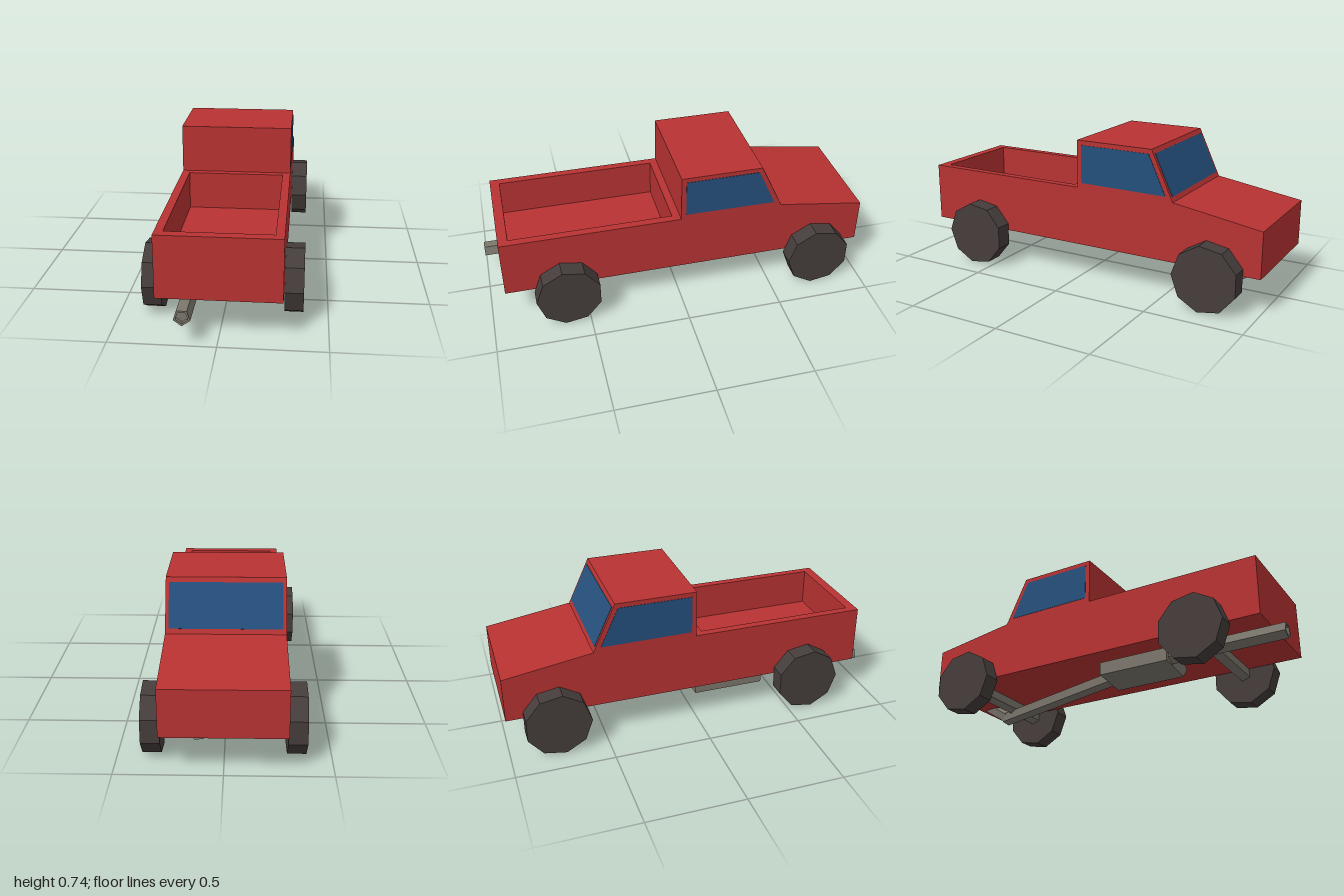
import * as THREE from 'three';

const paint = (color) => new THREE.MeshStandardMaterial({ color, flatShading: true });

export function createModel() {
  const truck = new THREE.Group();
  truck.name = 'pickupTruck';
  const red = paint(0xb83232), glass = paint(0x25507d), rubber = paint(0x453d3b), metal = paint(0x7c776d);

  const add = (name, geometry, material, x = 0, y = 0, z = 0) => {
    const mesh = new THREE.Mesh(geometry, material);
    mesh.name = name;
    mesh.position.set(x, y, z);
    truck.add(mesh);
    return mesh;
  };
  const extrude = (points, depth) => new THREE.ExtrudeGeometry(
    new THREE.Shape(points.map(([u, v]) => new THREE.Vector2(u, v))), { depth, bevelEnabled: false });
  // Side outline given as [z, y], extruded across x and centred
  const sidePanel = (points, width) => extrude(points, width).translate(0, 0, -width / 2).rotateY(-Math.PI / 2);
  // Straight faceted pipe between two points
  const pipe = (name, from, to, radius) => {
    const a = new THREE.Vector3(...from), b = new THREE.Vector3(...to);
    const mesh = add(name, new THREE.CylinderGeometry(radius, radius, a.distanceTo(b), 5), metal);
    mesh.position.copy(a).add(b).multiplyScalar(0.5);
    mesh.quaternion.setFromUnitVectors(new THREE.Vector3(0, 1, 0), b.sub(a).normalize());
    return mesh;
  };

  // Body: bed floor, cab and sloping hood in one outline
  const half = 0.291, floor = 0.3;
  add('body', sidePanel([
    [0.92, 0.19], [0.92, floor], [0.035, floor], [0.035, 0.497], [-0.005, 0.497], [-0.005, 0.744],
    [-0.425, 0.744], [-0.542, 0.495], [-1, 0.425], [-1, 0.19],
  ], half * 2), red);

  // Bed walls: a U seen from above, as [x, -z]
  add('bedWalls', extrude([
    [-half, -0.035], [-half, -0.92], [half, -0.92], [half, -0.035],
    [0.25, -0.035], [0.25, -0.87], [-0.25, -0.87], [-0.25, -0.035],
  ], 0.497 - floor).rotateX(-Math.PI / 2), red, 0, floor, 0);

  // Windows
  for (const side of [1, -1]) {
    add(side > 0 ? 'leftWindow' : 'rightWindow', sidePanel([
      [-0.03, 0.523], [-0.03, 0.72], [-0.41, 0.72], [-0.503, 0.52],
    ], 0.004), glass, side * half);
  }
  const windshield = add('windshield', new THREE.BoxGeometry(0.55, 0.225, 0.004), glass, 0, 0.6195, -0.4835);
  windshield.rotation.x = Math.atan2(0.117, 0.249);

  // Wheels and axles
  for (const [end, z] of [['rear', 0.602], ['front', -0.752]]) {
    for (const side of [1, -1]) {
      const tyre = new THREE.CylinderGeometry(0.17, 0.17, 0.09, 9).rotateZ(Math.PI / 2).rotateX(Math.PI / 2);
      // Turn the nine-sided outline so that one corner points to -z
      const p = tyre.attributes.position;
      let first = 0;
      for (let i = 0; i < p.count; i++) if (Math.hypot(p.getY(i), p.getZ(i)) > 0.1) { first = i; break; }
      tyre.rotateX(Math.PI - Math.atan2(-p.getY(first), p.getZ(first)) * -1);
      add(end + (side > 0 ? 'Left' : 'Right') + 'Wheel', tyre, rubber, side * 0.336, 0.168, z);
    }
    const axle = new THREE.CylinderGeometry(0.04, 0.04, 0.62, 5)
      .rotateY(THREE.MathUtils.degToRad(-33)).rotateZ(Math.PI / 2);
    axle.rotateX(THREE.MathUtils.degToRad(0));
    add(end + 'Axle', axle, metal, 0, 0.165, z);
  }

  // Exhaust: front pipe, muffler and tail pipe with a recessed mouth
  pipe('frontPipe', [-0.1, 0.125, 0.05], [0.125, 0.12, -0.83], 0.04);
  pipe('frontPipeRise', [0.12, 0.118, -0.81], [0.125, 0.215, -0.96], 0.038);
  add('muffler', extrude([
    [-0.215, 0.1], [-0.025, 0.08], [0.02, 0.135], [-0.05, 0.187], [-0.215, 0.168],
  ], 0.38), metal, 0, 0, 0.02);
  const tail = new THREE.LatheGeometry(
    [[0, 0], [0.041, 0], [0.041, 0.64], [0.03, 0.64], [0.03, 0.62], [0, 0.62]].map(([r, h]) => new THREE.Vector2(r, h)), 5);
  add('tailPipe', tail.rotateX(Math.PI / 2), metal, -0.155, 0.14, 0.36);
  return truck;
}
